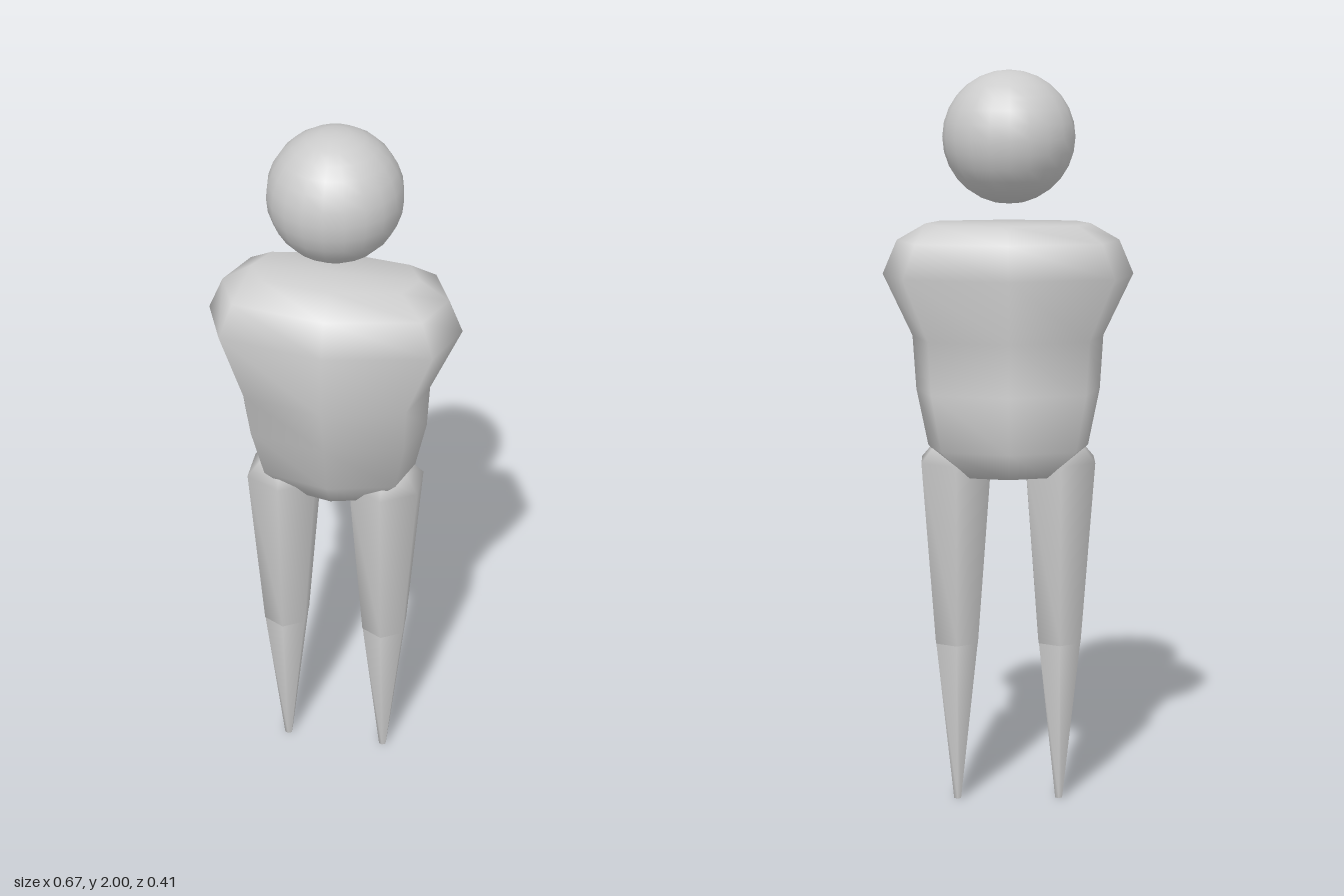
import * as THREE from 'three';

const material = new THREE.MeshStandardMaterial({ color: 0xcccccc });

// Smooth skin over closed rings of [x, y, z] points, listed bottom to top, with both ends capped
function loft(rings) {
  const n = rings[0].length;
  const points = rings.flat();
  const index = [];
  for (let i = 0; i < rings.length - 1; i++) {
    for (let j = 0; j < n; j++) {
      const a = i * n + j, b = i * n + (j + 1) % n;
      index.push(a, b, a + n, b, b + n, a + n);
    }
  }
  const cap = (start, up) => {
    const ring = points.slice(start, start + n);
    const centre = points.push([0, 1, 2].map(k => ring.reduce((s, p) => s + p[k], 0) / n)) - 1;
    for (let j = 0; j < n; j++) {
      const a = start + j, b = start + (j + 1) % n;
      index.push(centre, ...(up ? [a, b] : [b, a]));
    }
  };
  cap(0, false);
  cap((rings.length - 1) * n, true);
  const geometry = new THREE.BufferGeometry();
  geometry.setAttribute('position', new THREE.Float32BufferAttribute(points.flat(), 3));
  geometry.setIndex(index);
  geometry.computeVertexNormals();
  return geometry;
}

// Eight-sided torso section: half width, front z and back z
function torsoRing([y, w, front, back]) {
  const mid = (front + back) / 2, d = (front - back) / 2;
  return [[0, 1], [0.83, 0.72], [1, 0], [0.83, -0.72], [0, -1], [-0.83, -0.72], [-1, 0], [-0.83, 0.72]]
    .map(([x, z]) => [x * w, y, mid + z * d]);
}

// Six-sided leg section with a corner facing front
function legRing([y, r]) {
  return Array.from({ length: 6 }, (_, j) => {
    const a = j * Math.PI / 3;
    return [Math.sin(a) * r, y, Math.cos(a) * r];
  });
}

function addPart(parent, name, geometry, x = 0, y = 0, z = 0) {
  const mesh = new THREE.Mesh(geometry, material);
  mesh.name = name;
  mesh.position.set(x, y, z);
  parent.add(mesh);
}

export function createModel() {
  const model = new THREE.Group();
  model.name = 'figure';

  // Floating head
  addPart(model, 'head', new THREE.SphereGeometry(0.176, 20, 14), -0.002, 1.824, -0.015);

  // Torso from hips to shoulders
  const torso = [
    [0.92, 0.13, 0.07, -0.12],
    [1.0, 0.215, 0.125, -0.19],
    [1.15, 0.247, 0.165, -0.18],
    [1.29, 0.257, 0.205, -0.165],
    [1.46, 0.335, 0.2, -0.203],
    [1.55, 0.297, 0.165, -0.165],
    [1.595, 0.22, 0.09, -0.11],
  ];
  addPart(model, 'torso', loft(torso.map(torsoRing)));

  // Tapered legs in two parts, with a domed hip end
  const upper = loft([[0.45, 0.066], [0.955, 0.108], [1.008, 0.06]].map(legRing));
  const lower = loft([[0, 0.011], [0.45, 0.065]].map(legRing));
  for (const [side, x] of [['left', 0.14], ['right', -0.14]]) {
    const leg = new THREE.Group();
    leg.name = side + 'Leg';
    leg.position.set(x, 0, -0.01);
    addPart(leg, side + 'UpperLeg', upper);
    addPart(leg, side + 'LowerLeg', lower);
    model.add(leg);
  }
  return model;
}
